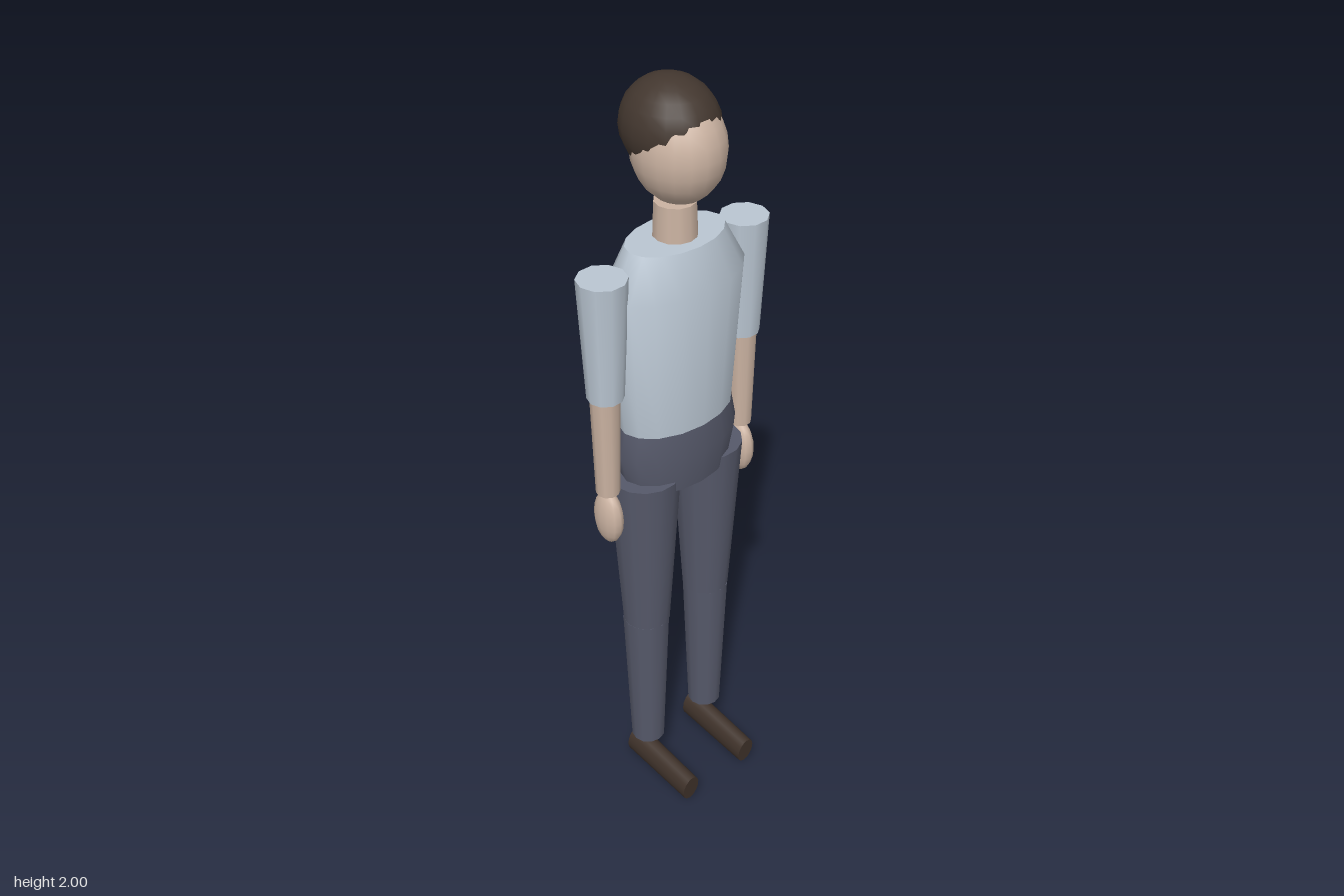
import * as THREE from 'three';
import { toCreasedNormals } from 'three/addons/utils/BufferGeometryUtils.js';

const paint = (name, color) => {
  const m = new THREE.MeshStandardMaterial({ color });
  m.name = name;
  return m;
};

export function createModel() {
  const skin = paint('skin', 0xcbb3a2);
  const shirt = paint('shirt blue grey', 0xbac6d2);
  const trousers = paint('trousers slate', 0x56596a);
  const hair = paint('hair brown', 0x43372f);
  const leather = paint('shoe brown', 0x40332b);

  const model = new THREE.Group();
  model.name = 'standingFigure';
  const Z = -0.02; // depth of the body axis

  const add = (name, geometry, material, x, y, z, parent = model) => {
    const mesh = new THREE.Mesh(geometry, material);
    mesh.name = name;
    mesh.position.set(x, y, z);
    parent.add(mesh);
    return mesh;
  };

  // Closed oval body section from [radius, height] rings
  const ovalBody = (rings, depth) => {
    const points = [[0, rings[0][1]], ...rings, [0, rings[rings.length - 1][1]]]
      .map(([r, y]) => new THREE.Vector2(r, y));
    return toCreasedNormals(new THREE.LatheGeometry(points, 16).scale(1, 1, depth), 1);
  };

  // Tapered limb spanning two heights
  const limb = (name, material, x, yTop, rTop, yBottom, rBottom, sides, parent) =>
    add(name, new THREE.CylinderGeometry(rTop, rBottom, yTop - yBottom, sides).rotateY(Math.PI / 2),
      material, x, (yTop + yBottom) / 2, Z, parent);

  const ellipsoid = (rx, ry, rz, across = 18, down = 12) =>
    new THREE.SphereGeometry(1, across, down).scale(rx, ry, rz);

  // Head, hair and neck
  add('head', ellipsoid(0.103, 0.128, 0.114), skin, 0, 1.845, -0.009);
  add('hair', ellipsoid(0.107, 0.111, 0.12), hair, 0, 1.889, -0.035);
  limb('neck', skin, 0, 1.715, 0.049, 1.6, 0.053, 12, model);

  // Torso and hips
  add('torso', ovalBody([[0.16, 1.16], [0.188, 1.53], [0.133, 1.63]], 0.615), shirt, 0, 0, Z);
  add('hips', ovalBody([[0.152, 0.99], [0.173, 1.09], [0.159, 1.162]], 0.605), trousers, 0, 0, Z);

  for (const [side, s] of [['left', 1], ['right', -1]]) {
    // Arm
    const arm = new THREE.Group();
    arm.name = side + 'Arm';
    model.add(arm);
    limb('sleeve', shirt, s * 0.214, 1.6, 0.059, 1.29, 0.044, 10, arm);
    limb('forearm', skin, s * 0.216, 1.295, 0.036, 1.02, 0.029, 10, arm);
    add('hand', ellipsoid(0.028, 0.075, 0.045, 12, 10), skin, s * 0.216, 0.945, Z, arm);

    // Leg
    const leg = new THREE.Group();
    leg.name = side + 'Leg';
    model.add(leg);
    limb('thigh', trousers, s * 0.102, 1.02, 0.089, 0.56, 0.06, 14, leg);
    limb('shin', trousers, s * 0.103, 0.56, 0.06, 0.135, 0.044, 12, leg);

    // Shoe: a flattened taper lying forward, toe dipped
    const shoe = add('shoe', new THREE.CylinderGeometry(0.042, 0.046, 0.225, 14).scale(0.63, 1, 1),
      leather, s * 0.102, 0.056, 0.039, leg);
    shoe.rotation.x = Math.PI / 2 + 0.115;
  }
  return model;
}
